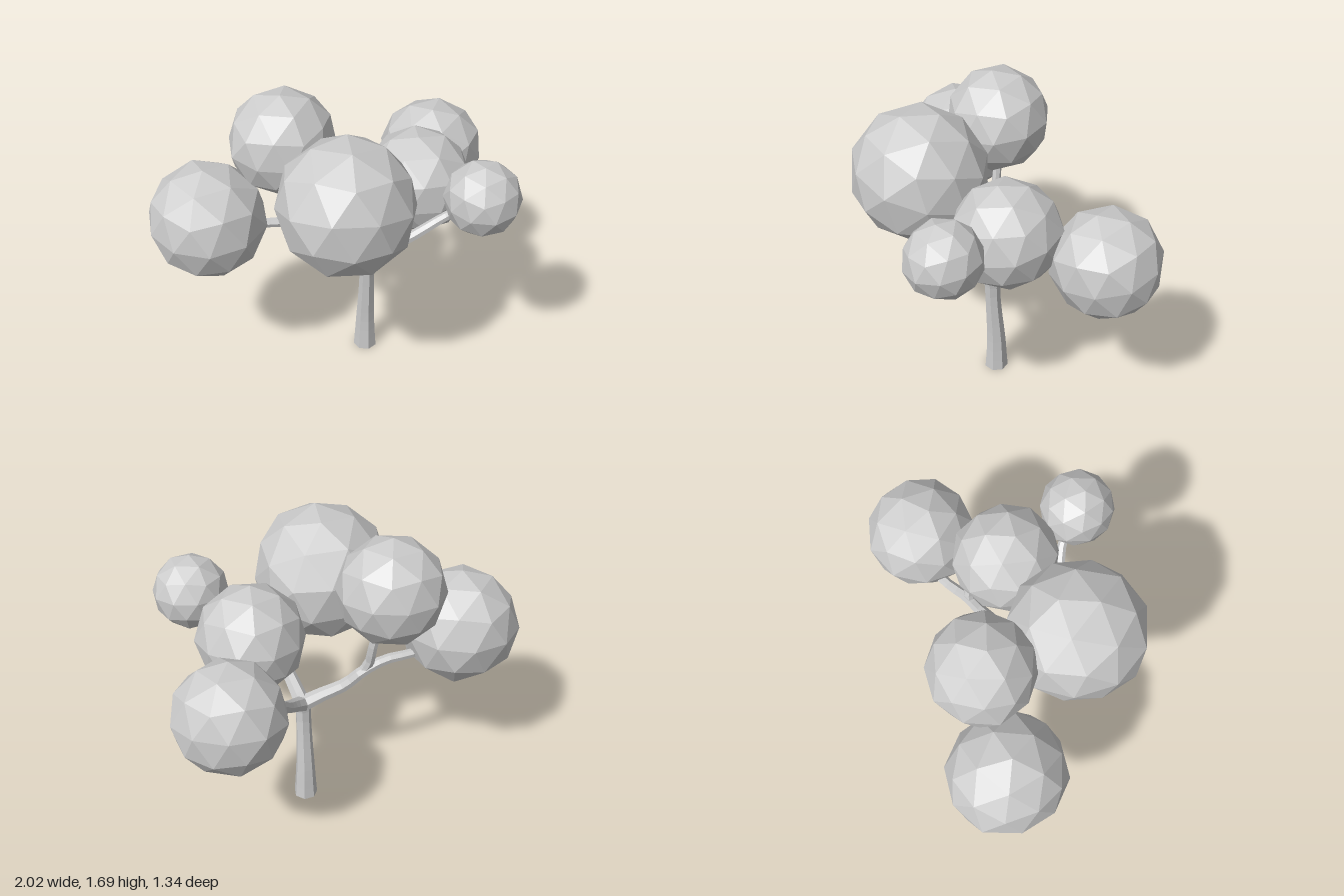
import * as THREE from 'three';

const material = new THREE.MeshStandardMaterial({ color: 0xcccccc, flatShading: true });

// Faceted tube along a smooth path, tapering from r0 to r1, with flares at its start and end
function limb(name, points, r0, r1, startFlare = 0, endFlare = 0) {
  const curve = new THREE.CatmullRomCurve3(points.map((p) => new THREE.Vector3(...p)));
  const steps = points.length * 2;
  const sides = 7;
  const geo = new THREE.TubeGeometry(curve, steps, 1, sides, false);
  const pos = geo.attributes.position;
  const v = new THREE.Vector3();
  for (let i = 0; i <= steps; i++) {
    const t = i / steps;
    const centre = curve.getPointAt(t);
    const r = r0 + (r1 - r0) * t + startFlare * (1 - t) ** 4 + endFlare * t ** 8;
    for (let j = 0; j <= sides; j++) {
      const k = i * (sides + 1) + j;
      v.fromBufferAttribute(pos, k).sub(centre).multiplyScalar(r).add(centre);
      pos.setXYZ(k, v.x, Math.max(v.y, 0), v.z);
    }
  }
  geo.computeVertexNormals();
  const mesh = new THREE.Mesh(geo, material);
  mesh.name = name;
  return mesh;
}

// Slightly uneven low-poly ball with a blunt underside, leaning a little
function leafBall(name, centre, r, yaw, tilt) {
  const geo = new THREE.IcosahedronGeometry(1, 1);
  geo.rotateZ(-Math.atan(2 / (1 + Math.sqrt(5))));
  const pos = geo.attributes.position;
  const v = new THREE.Vector3();
  for (let i = 0; i < pos.count; i++) {
    v.fromBufferAttribute(pos, i);
    const bump = 1 + 0.02 * Math.sin(7 * v.x + 11 * v.z + 5 * v.y + yaw * 9);
    const y = Math.max(v.y, -0.91);
    pos.setXYZ(i, v.x * bump * r, y * r, v.z * bump * r);
  }
  geo.rotateY(yaw).rotateX(tilt).rotateZ(tilt * 0.7);
  geo.computeVertexNormals();
  const mesh = new THREE.Mesh(geo, material);
  mesh.name = name;
  mesh.position.set(...centre);
  return mesh;
}

export function createModel() {
  const tree = new THREE.Group();
  tree.name = 'tree';

  // Trunk, swelling where the boughs leave it, with its underside
  tree.add(limb('trunk', [
    [0.117, 0, -0.083], [0.116, 0.2, -0.079], [0.112, 0.42, -0.063],
    [0.11, 0.58, -0.053], [0.113, 0.67, -0.05],
  ], 0.06, 0.036, 0.007, 0.014));
  const base = new THREE.Mesh(new THREE.CircleGeometry(0.067, 7), material);
  base.name = 'trunkBase';
  base.rotation.x = Math.PI / 2;
  base.position.set(0.117, 0.001, -0.083);
  tree.add(base);

  // Boughs sweeping from the top of the trunk into the outer balls
  const fork = [0.112, 0.64, -0.052];
  const boughs = new THREE.Group();
  boughs.name = 'boughs';
  boughs.add(
    limb('frontBough', [
      fork, [0.112, 0.7, 0.015], [0.108, 0.79, 0.125], [0.105, 0.91, 0.22],
      [0.2, 0.985, 0.28], [0.34, 1.08, 0.34], [0.47, 1.2, 0.45],
    ], 0.038, 0.022, 0.008),
    limb('leftBough', [
      fork, [0.02, 0.695, -0.1], [-0.09, 0.765, -0.17], [-0.17, 0.865, -0.23],
      [-0.28, 0.915, -0.27], [-0.43, 0.93, -0.32], [-0.6, 0.97, -0.35],
    ], 0.038, 0.022, 0.008),
    limb('rightBough', [
      fork, [0.2, 0.7, -0.1], [0.29, 0.775, -0.165], [0.36, 0.85, -0.215],
      [0.44, 0.9, -0.285], [0.53, 0.94, -0.33], [0.68, 1.0, -0.34],
    ], 0.038, 0.022, 0.008),
  );
  tree.add(boughs);

  // Side branches rising from the boughs into the inner balls
  const branches = new THREE.Group();
  branches.name = 'branches';
  [
    [[0.108, 0.86, 0.18], [0.07, 0.96, 0.225], [-0.02, 1.03, 0.24], [-0.15, 1.2, 0.24]],
    [[-0.16, 0.84, -0.215], [-0.19, 0.92, -0.245], [-0.19, 1.03, -0.27], [-0.22, 1.25, -0.3]],
    [[0.34, 0.825, -0.2], [0.37, 0.9, -0.19], [0.365, 1.0, -0.11], [0.37, 1.12, 0]],
  ].forEach((path, i) => branches.add(limb(`branch${i + 1}`, path, 0.03, 0.021)));
  tree.add(branches);

  // Balls of leaves: centre, radius, turn, lean
  const foliage = new THREE.Group();
  foliage.name = 'foliage';
  [
    [[-0.7, 1.04, -0.36], 0.32, 0.2, 0.08],
    [[-0.255, 1.4, -0.32], 0.288, 0.9, 0.1],
    [[-0.19, 1.265, 0.215], 0.37, 0.5, -0.25],
    [[0.37, 1.145, 0.035], 0.29, 1.1, 0.15],
    [[0.475, 1.23, 0.475], 0.204, 0.3, 0.15],
    [[0.722, 1.035, -0.33], 0.295, 0.7, 0.18],
  ].forEach(([centre, r, yaw, tilt], i) => foliage.add(leafBall(`leafBall${i + 1}`, centre, r, yaw, tilt)));
  tree.add(foliage);

  return tree;
}
